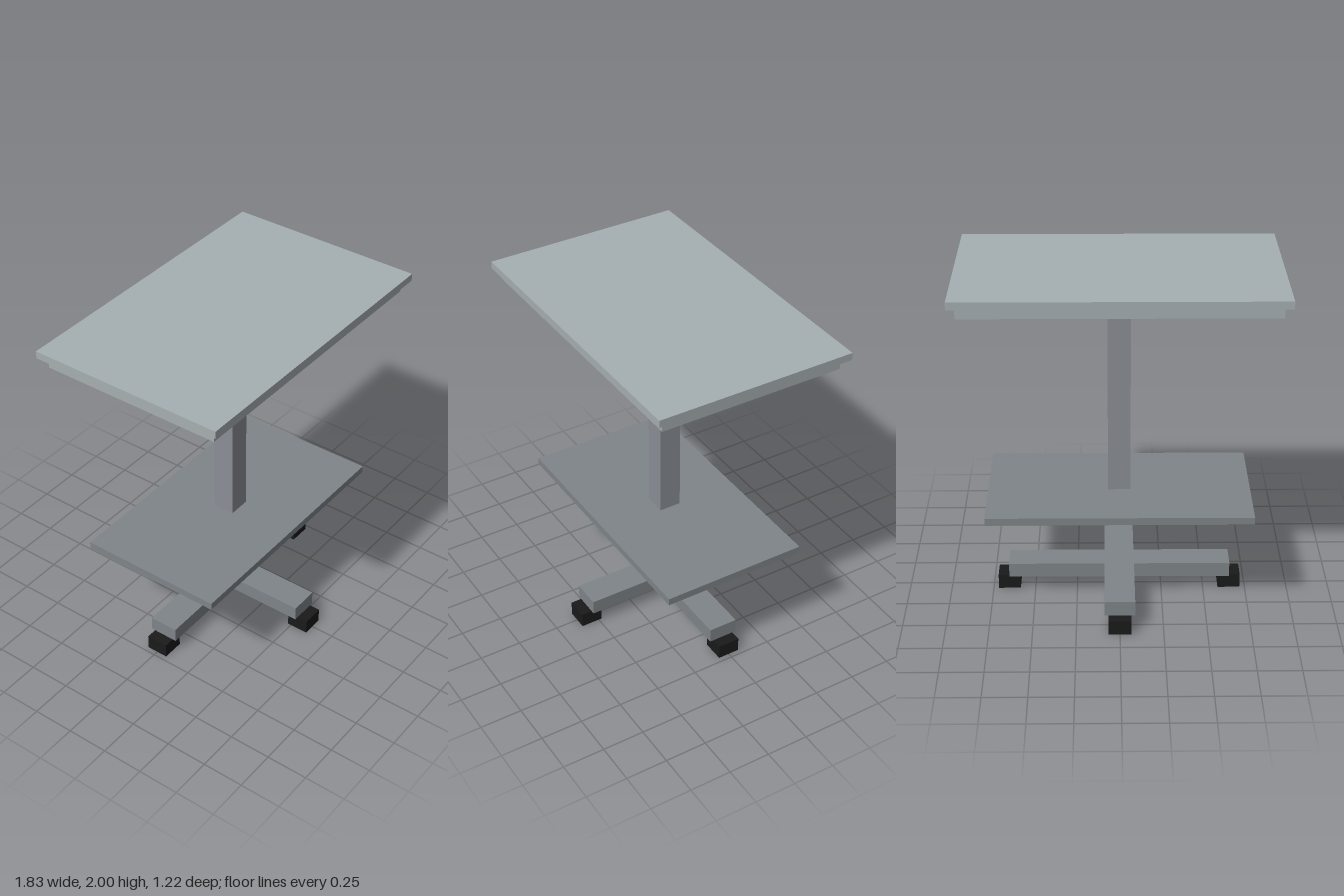
import * as THREE from 'three';

const U = 2 / 91.7; // design unit

const paint = (color) => new THREE.MeshStandardMaterial({ color });

export function createModel() {
  const group = new THREE.Group();
  const topGrey = paint(0xa6afb2);
  const columnGrey = paint(0x8a8f96);
  const baseGrey = paint(0x7f8589);
  const black = paint(0x1a1a1a);

  // Box centred on (x, z) with its underside at y
  function box(name, w, h, d, x, y, z, material) {
    const mesh = new THREE.Mesh(new THREE.BoxGeometry(w, h, d), material);
    mesh.name = name;
    mesh.position.set(x, y + h / 2, z);
    group.add(mesh);
  }

  // Table top with its smaller backing panel
  box('tableTop', 84 * U, 2 * U, 54 * U, 0, 2 - 2 * U, 0, topGrey);
  box('backingPanel', 80 * U, 3 * U, 50 * U, 0, 2 - 5 * U, 0, topGrey);

  // Column standing on the lower shelf
  const shelfY = 28 * U, shelfTop = 30 * U;
  box('column', 6 * U, 2 - 5 * U - shelfTop, 6 * U, 0, shelfTop, 0, columnGrey);
  box('lowerShelf', 70 * U, 2 * U, 40 * U, 0, shelfY, 0, baseGrey);

  // Cross-shaped base, extruded upwards
  const a = 30 * U, b = 25 * U, w = 4 * U;
  const cross = new THREE.Shape([
    [a, -w], [a, w], [w, w], [w, b], [-w, b], [-w, w],
    [-a, w], [-a, -w], [-w, -w], [-w, -b], [w, -b], [w, -w],
  ].map(([x, y]) => new THREE.Vector2(x, y)));
  const crossGeometry = new THREE.ExtrudeGeometry(cross, { depth: 4 * U, bevelEnabled: false });
  crossGeometry.rotateX(-Math.PI / 2);
  const base = new THREE.Mesh(crossGeometry, baseGrey);
  base.name = 'crossBase';
  base.position.y = 4 * U;
  group.add(base);

  // Block feet under the four arm ends
  for (const [name, x, z] of [
    ['leftFoot', a, 0], ['rightFoot', -a, 0], ['frontFoot', 0, b], ['backFoot', 0, -b],
  ]) box(name, 6 * U, 4 * U, 6 * U, x, 0, z, black);

  return group;
}
